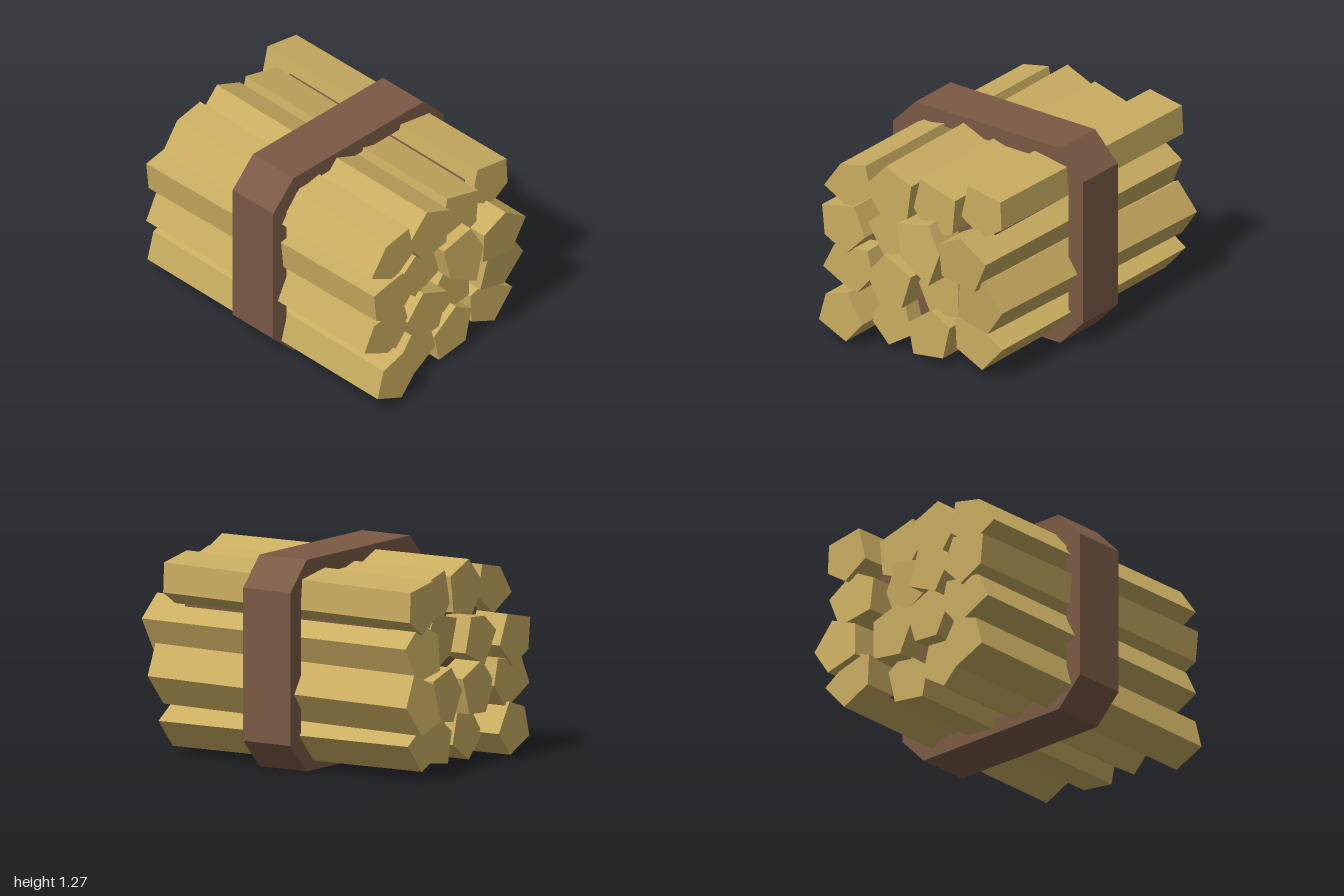
import * as THREE from 'three';

export function createModel() {
  const model = new THREE.Group();
  model.name = 'logBundle';
  const wood = new THREE.MeshStandardMaterial({ color: 0xc9ad60 });
  wood.name = 'paleWood';
  const strap = new THREE.MeshStandardMaterial({ color: 0x7a5a45 });
  strap.name = 'brownStrap';

  const add = (geometry, material, name, parent = model) => {
    const mesh = new THREE.Mesh(geometry, material);
    mesh.name = name;
    parent.add(mesh);
    return mesh;
  };

  // Octagonal band around the bundle
  const octagon = (w, low, high, cx, cy) => [
    [-cx, low], [cx, low], [w, low + cy], [w, high - cy],
    [cx, high], [-cx, high], [-w, high - cy], [-w, low + cy],
  ].map(([x, y]) => new THREE.Vector2(x, y));
  const ring = new THREE.Shape(octagon(0.71, 0, 1.27, 0.54, 0.175));
  ring.holes.push(new THREE.Path(octagon(0.6, 0.1, 1.17, 0.49, 0.12)));
  const band = new THREE.ExtrudeGeometry(ring, { depth: 0.34, bevelEnabled: false });
  add(band.translate(0, 0, -0.17), strap, 'band');

  // Dark core seen through the gaps between logs
  add(new THREE.BoxGeometry(0.98, 0.97, 1.48).translate(0, 0.625, 0), strap, 'core');

  // Five-sided log: section in hundredths, end positions, drift of the back end, slant of the front end
  const logs = new THREE.Group();
  logs.name = 'logs';
  model.add(logs);
  const addLog = (name, section, front, back, dx = 0, dy = 0, slant = 0) => {
    const points = section.map(([x, y]) => new THREE.Vector2(x / 100, y / 100));
    const middle = points.reduce((sum, p) => sum + p.y, 0) / points.length;
    const geometry = new THREE.ExtrudeGeometry(new THREE.Shape(points), { depth: 1, bevelEnabled: false });
    const pos = geometry.attributes.position;
    for (let i = 0; i < pos.count; i++) {
      const t = pos.getZ(i);
      const x = pos.getX(i), y = pos.getY(i);
      const z = THREE.MathUtils.lerp(back, front, t) + (y - middle) * slant;
      pos.setXYZ(i, x + dx * (1 - t), y + dy * (1 - t), z);
    }
    geometry.computeVertexNormals();
    add(geometry, wood, name, logs);
  };

  // Top row
  addLog('topLog1', [[-52, 115], [-33, 119], [-29, 100], [-45, 88], [-64, 98]], 0.93, -0.84, 0.01, 0);
  addLog('topLog2', [[-18, 123], [1, 115], [-2, 93], [-21, 89], [-34, 106]], 0.93, -0.84, 0, 0.01);
  addLog('topLog3', [[4, 119], [30, 112], [28, 90], [12, 83], [-1, 99]], 0.88, -0.82, 0, 0.01);
  addLog('topLog4', [[35, 121], [59, 117], [60, 99], [46, 90], [30, 100]], 0.82, -0.95, 0, -0.02);

  // Upper middle row
  addLog('upperLog1', [[-40, 91], [-32, 73], [-46, 59], [-62, 67], [-64, 86]], 0.95, -0.96, -0.01, -0.02);
  addLog('upperLog2', [[-23, 90], [-9, 91], [-3, 70], [-23, 61], [-35, 80]], 0.88, -0.92);
  addLog('upperLog3', [[16, 95], [25, 78], [18, 57], [-3, 69], [-7, 90]], 0.97, -0.82, 0, 0, -0.08);
  addLog('upperLog4', [[42, 95], [60, 82], [50, 61], [26, 65], [25, 86]], 0.97, -0.93, 0.01, -0.01, 0.1);

  // Lower middle row
  addLog('lowerLog1', [[-59, 59], [-34, 62], [-30, 46], [-43, 31], [-67, 43]], 0.9, -0.94, 0, 0.01);
  addLog('lowerLog2', [[-20, 64], [0, 55], [-7, 33], [-24, 32], [-33, 49]], 0.92, -0.92);
  addLog('lowerLog3', [[9, 63], [28, 57], [28, 33], [7, 30], [-2, 48]], 0.82, -0.9);
  addLog('lowerLog4', [[54, 67], [66, 49], [53, 31], [32, 37], [35, 59]], 0.89, -0.98, 0.02, -0.02, 0.14);

  // Bottom row
  addLog('bottomLog1', [[-59, 30], [-43, 35], [-32, 17], [-44, 3], [-64, 12]], 0.98, -0.96, 0, 0.01);
  addLog('bottomLog2', [[-24, 32], [-9, 33], [-4, 14], [-21, 3], [-35, 17]], 0.86, -0.82);
  addLog('bottomLog3', [[12, 35], [25, 27], [20, 6], [-2, 3], [-6, 22]], 0.87, -0.8);
  addLog('bottomLog4', [[27, 33], [39, 37], [62, 22], [47, 5], [28, 14]], 0.84, -0.95, 0, 0.01);

  return model;
}
